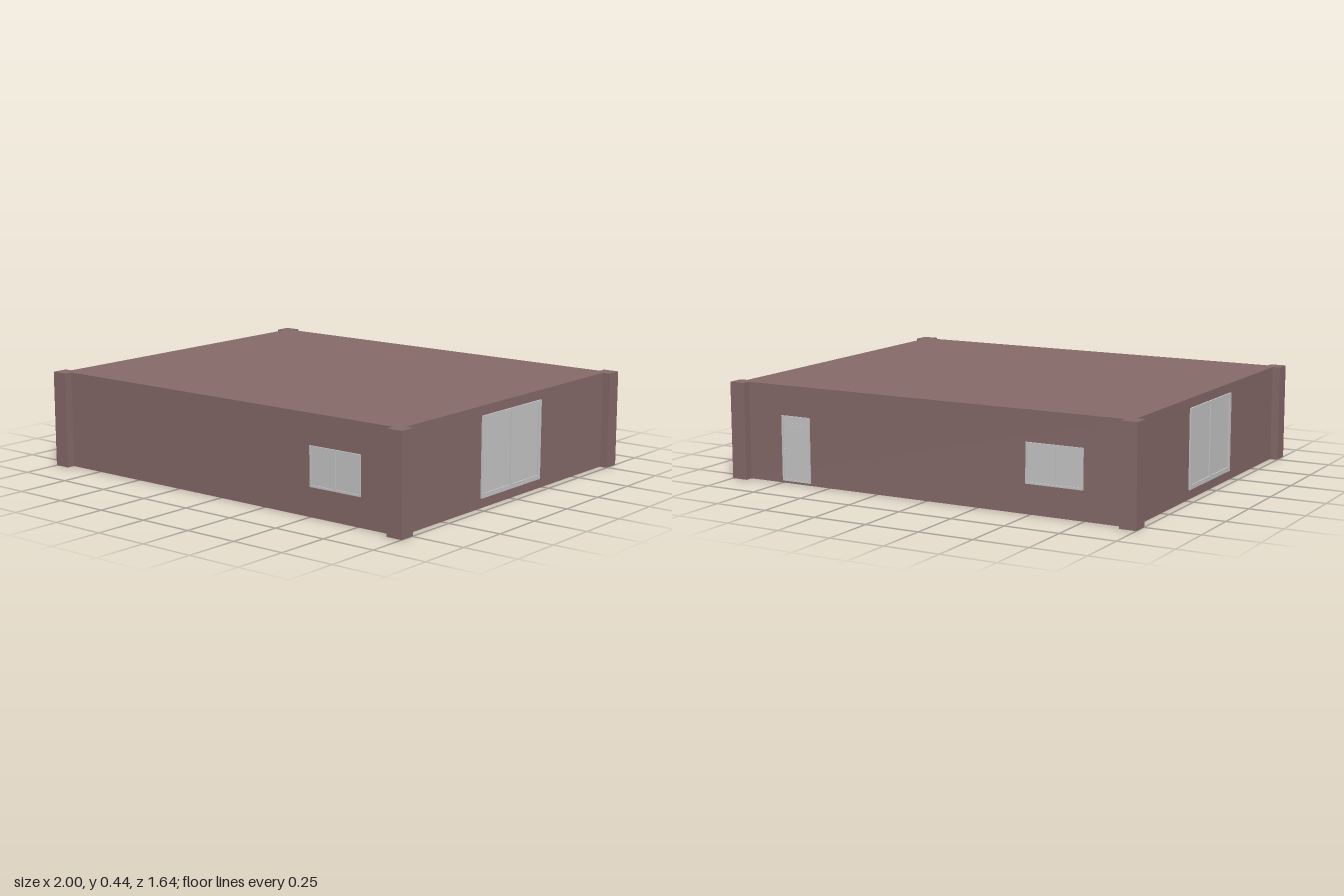
import * as THREE from 'three';

const wallPaint = new THREE.MeshStandardMaterial({ color: 0x886b6b });
wallPaint.name = 'wall paint';
const paleGrey = new THREE.MeshStandardMaterial({ color: 0xcacaca });
paleGrey.name = 'pale grey';

const HEIGHT = 0.44, WALL_X = 0.964, WALL_Z = 0.782;

function box(name, size, pos, material) {
  const mesh = new THREE.Mesh(new THREE.BoxGeometry(...size), material);
  mesh.name = name;
  mesh.position.set(...pos);
  return mesh;
}

function rectangle(target, x0, y0, x1, y1) {
  target.moveTo(x0, y0);
  target.lineTo(x1, y0);
  target.lineTo(x1, y1);
  target.lineTo(x0, y1);
  target.closePath();
  return target;
}

// Frame with rectangular openings and a pane behind, facing +z, base at y = 0
function framedOpening(name, w, h, border, columns, depth) {
  const group = new THREE.Group();
  group.name = name;
  const shape = rectangle(new THREE.Shape(), -w / 2, 0, w / 2, h);
  const paneWidth = (w - border * (columns + 1)) / columns;
  for (let i = 0; i < columns; i++) {
    const x = -w / 2 + border + i * (paneWidth + border);
    shape.holes.push(rectangle(new THREE.Path(), x, border, x + paneWidth, h - border));
  }
  const frame = new THREE.Mesh(
    new THREE.ExtrudeGeometry(shape, { depth, bevelEnabled: false }), paleGrey);
  frame.name = name + 'Frame';
  const pane = box(name + 'Pane', [w - border, h - border, 0.002], [0, h / 2, 0.001], paleGrey);
  group.add(frame, pane);
  return group;
}

export function createModel() {
  const model = new THREE.Group();
  model.name = 'building';

  // Main block
  model.add(box('walls', [WALL_X * 2, HEIGHT, WALL_Z * 2], [0, HEIGHT / 2, 0], wallPaint));

  // Corner pillars, flush with the roof
  for (const sx of [-1, 1]) {
    for (const sz of [-1, 1]) {
      model.add(box('cornerPillar', [0.075, HEIGHT, 0.075],
        [sx * 0.9625, HEIGHT / 2, sz * 0.7825], wallPaint));
    }
  }

  // Small windows, front and back
  for (const s of [-1, 1]) {
    const window = framedOpening('smallWindow', 0.265, 0.175, 0.009, 2, 0.006);
    window.position.set(s * 0.633 - (s < 0 ? -0.02 : 0), 0.13, s * WALL_Z);
    if (s < 0) window.rotation.y = Math.PI;
    model.add(window);
  }

  // Large double windows on both ends
  for (const s of [-1, 1]) {
    const window = framedOpening('largeWindow', 0.448, 0.355, 0.02, 2, 0.007);
    window.position.set(s * WALL_X, 0.043, 0);
    window.rotation.y = s * Math.PI / 2;
    model.add(window);
  }

  // Back door with handle and narrow slots
  const door = framedOpening('door', 0.15, 0.295, 0.008, 1, 0.005);
  door.add(box('doorHandle', [0.012, 0.016, 0.008], [-0.056, 0.14, 0.006], paleGrey));
  for (const y of [0.25, 0.262]) {
    door.add(box('doorSlot', [0.08, 0.004, 0.002], [0, y, 0.003], paleGrey));
  }
  door.position.set(0.674, 0.01, -WALL_Z);
  door.rotation.y = Math.PI;
  model.add(door);

  return model;
}
